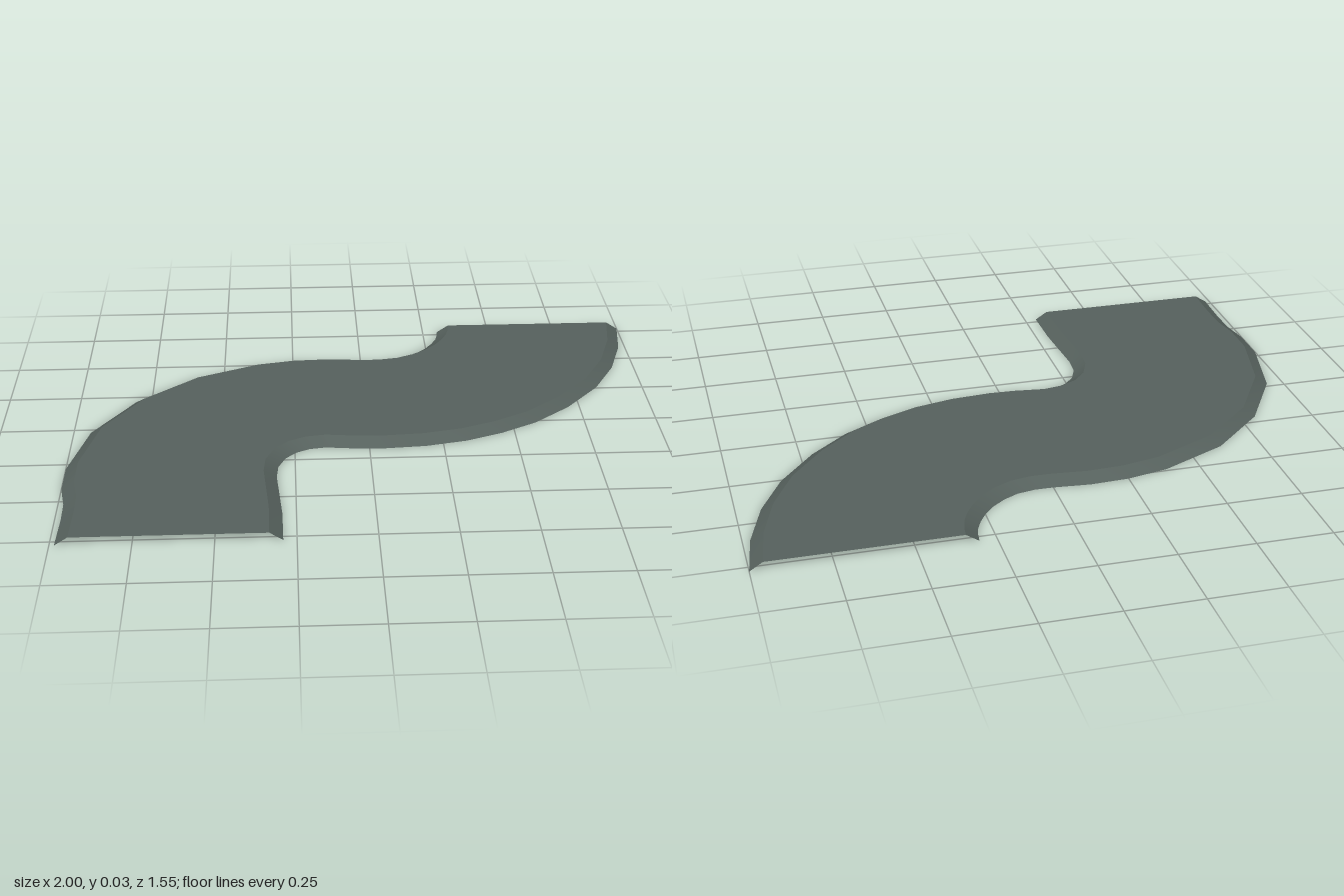
import * as THREE from 'three';

const HEIGHT = 0.027, BEVEL = 0.042;

// Stations from the front end to the back end: [left edge x, z, right edge x, z]
const STATIONS = [
  [-0.985, 0.772, -0.292, 0.772],
  [-0.981, 0.62, -0.294, 0.61],
  [-0.983, 0.52, -0.303, 0.48],
  [-1.0, 0.42, -0.311, 0.37],
  [-1.0, 0.28, -0.306, 0.3],
  [-0.942, 0.02, -0.282, 0.24],
  [-0.805, -0.21, -0.245, 0.2],
  [-0.615, -0.385, -0.2, 0.176],
  [-0.39, -0.49, -0.145, 0.167],
  [-0.25, -0.52, -0.1, 0.173],
  [-0.12, -0.526, -0.04, 0.18],
  [0.0, -0.515, 0.05, 0.183],
  [0.06, -0.514, 0.19, 0.172],
  [0.12, -0.525, 0.33, 0.14],
  [0.17, -0.55, 0.455, 0.088],
  [0.215, -0.585, 0.58, 0.015],
  [0.25, -0.625, 0.71, -0.1],
  [0.275, -0.665, 0.835, -0.255],
  [0.293, -0.705, 0.92, -0.42],
  [0.301, -0.74, 0.976, -0.6],
  [0.305, -0.775, 1.0, -0.775],
];

// Moves an edge inwards, square to its own direction, and lifts it to the top
function shoulder(edge, side) {
  return edge.map((p, i) => {
    const t = edge[Math.min(i + 1, edge.length - 1)].clone().sub(edge[Math.max(i - 1, 0)]).normalize();
    const end = i === 0 || i === edge.length - 1;
    const inward = end ? new THREE.Vector3(side, 0, 0) : new THREE.Vector3(-t.z * side, 0, t.x * side);
    return p.clone().addScaledVector(inward, BEVEL).setY(HEIGHT);
  });
}

// Surface between a left rail and a right rail
function strip(name, left, right, material) {
  const points = left.flatMap((p, i) => [p, right[i]]);
  const index = [];
  for (let i = 0; i < left.length - 1; i++) {
    const a = i * 2;
    index.push(a, a + 1, a + 3, a, a + 3, a + 2);
  }
  const geometry = new THREE.BufferGeometry().setFromPoints(points);
  geometry.setIndex(index);
  geometry.computeVertexNormals();
  const mesh = new THREE.Mesh(geometry, material);
  mesh.name = name;
  return mesh;
}

export function createModel() {
  const asphalt = new THREE.MeshStandardMaterial({ color: 0x56615d, side: THREE.DoubleSide });
  asphalt.name = 'asphalt';

  const leftEdge = STATIONS.map(([x, z]) => new THREE.Vector3(x, 0, z));
  const rightEdge = STATIONS.map(([, , x, z]) => new THREE.Vector3(x, 0, z));
  const leftTop = shoulder(leftEdge, 1);
  const rightTop = shoulder(rightEdge, -1);

  // Open shell: flat deck with a sloping bank along each side
  const road = new THREE.Group();
  road.name = 'curvedRoad';
  road.add(
    strip('roadDeck', leftTop, rightTop, asphalt),
    strip('leftBank', leftEdge, leftTop, asphalt),
    strip('rightBank', rightTop, rightEdge, asphalt),
  );
  return road;
}
